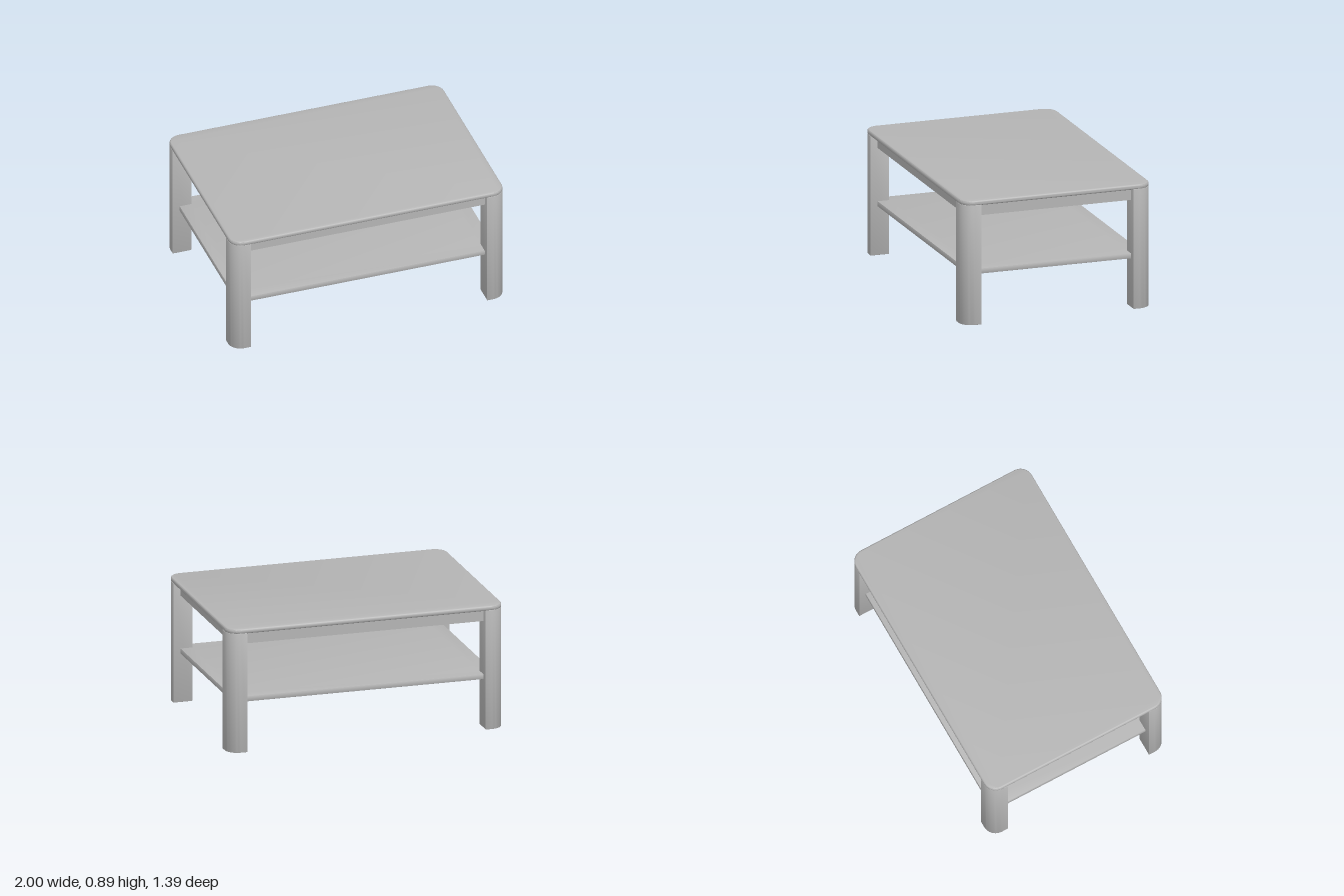
import * as THREE from 'three';
import { toCreasedNormals } from 'three/addons/utils/BufferGeometryUtils.js';

const W = 1.0, D = 0.695;        // half width and half depth of the table
const LEG = 0.137, CORNER = 0.09; // leg thickness and plan corner radius

// Extrude a plan outline (x, -z) upward from y0 to y1 with softened edges
function slab(shape, y0, y1, bevel, segments) {
  const geo = new THREE.ExtrudeGeometry(shape, {
    depth: y1 - y0 - 2 * bevel,
    bevelEnabled: true,
    bevelThickness: bevel,
    bevelSize: bevel,
    bevelOffset: -bevel,
    bevelSegments: segments,
    curveSegments: 10,
  });
  geo.rotateX(-Math.PI / 2);
  geo.translate(0, y0 + bevel, 0);
  return toCreasedNormals(geo, 0.6);
}

// Rectangle with four rounded corners
function roundedPlan(w, d, r) {
  const s = new THREE.Shape();
  s.absarc(w - r, d - r, r, 0, Math.PI / 2);
  s.absarc(-w + r, d - r, r, Math.PI / 2, Math.PI);
  s.absarc(-w + r, -d + r, r, Math.PI, Math.PI * 1.5);
  s.absarc(w - r, -d + r, r, Math.PI * 1.5, Math.PI * 2);
  s.closePath();
  return s;
}

// Square leg whose outer corner is rounded
function legPlan(sx, sy) {
  const s = new THREE.Shape();
  s.moveTo(sx * (W - LEG), sy * (D - LEG));
  s.lineTo(sx * W, sy * (D - LEG));
  for (let i = 0; i <= 10; i++) {
    const a = (i / 10) * Math.PI / 2;
    s.lineTo(sx * (W - CORNER + CORNER * Math.cos(a)), sy * (D - CORNER + CORNER * Math.sin(a)));
  }
  s.lineTo(sx * (W - LEG), sy * D);
  s.closePath();
  return s;
}

// Rectangle notched around the four legs
function shelfPlan(w, d) {
  const x = W - LEG, y = D - LEG;
  return new THREE.Shape([
    [x, -d], [x, -y], [w, -y], [w, y], [x, y], [x, d],
    [-x, d], [-x, y], [-w, y], [-w, -y], [-x, -y], [-x, -d],
  ].map(([px, py]) => new THREE.Vector2(px, py)));
}

export function createModel() {
  const table = new THREE.Group();
  table.name = 'coffeeTable';
  const grey = new THREE.MeshStandardMaterial({ color: 0xb4b4b4 });
  grey.name = 'grey';

  const add = (name, geo) => {
    const mesh = new THREE.Mesh(geo, grey);
    mesh.name = name;
    table.add(mesh);
    return mesh;
  };

  // Table top with soft edges
  add('tableTop', slab(roundedPlan(W, D, CORNER), 0.857, 0.893, 0.012, 4));

  // Four legs
  for (const sx of [-1, 1]) {
    for (const sz of [-1, 1]) {
      const name = (sz > 0 ? 'front' : 'back') + (sx > 0 ? 'Left' : 'Right') + 'Leg';
      add(name, slab(legPlan(sx, -sz), 0, 0.862, 0.005, 2));
    }
  }

  // Apron rails between the legs, set back from the edge
  const railH = 0.086, railT = 0.055, railY = 0.772 + railH / 2;
  for (const s of [-1, 1]) {
    add(s > 0 ? 'frontApron' : 'backApron', new THREE.BoxGeometry(2 * (W - LEG), railH, railT))
      .position.set(0, railY, s * (0.645 - railT / 2));
    add(s > 0 ? 'leftApron' : 'rightApron', new THREE.BoxGeometry(railT, railH, 2 * (D - LEG)))
      .position.set(s * (0.95 - railT / 2), railY, 0);
  }

  // Lower shelf
  add('shelf', slab(shelfPlan(0.95, 0.645), 0.351, 0.389, 0.004, 2));

  return table;
}
